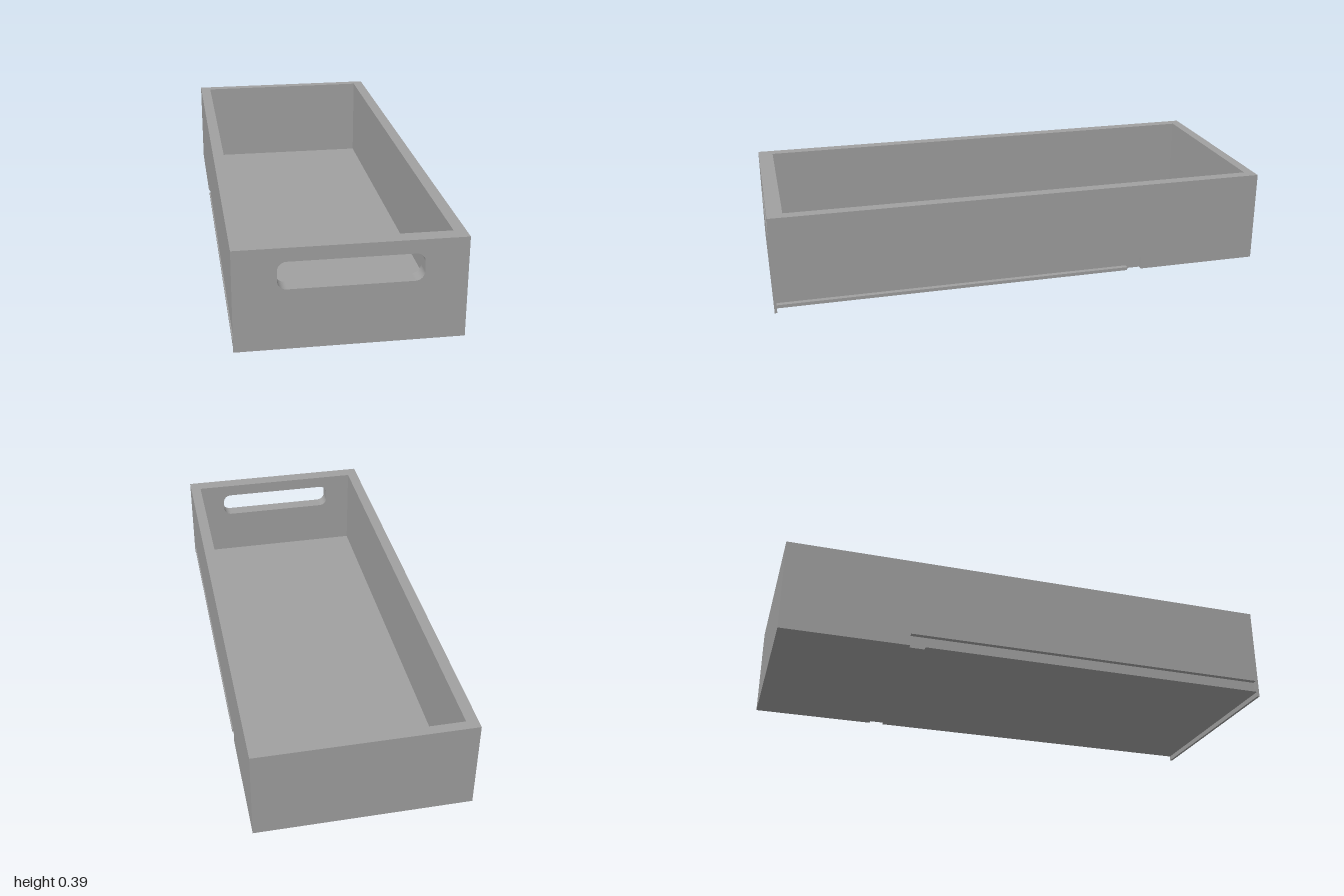
import * as THREE from 'three';

const W = 0.417, INNER = 0.372, GROOVE = 0.397; // half widths: outside, inside, groove bed
const BASE = 0.02, TOP = 0.39, FLOOR = 0.033;
const FACE = 0.99; // back of the thin front face

export function createModel() {
  const group = new THREE.Group();
  group.name = 'drawer';
  const grey = new THREE.MeshStandardMaterial({ color: 0xa0a0a0 });
  grey.name = 'grey';

  const add = (name, geometry) => {
    const mesh = new THREE.Mesh(geometry, grey);
    mesh.name = name;
    group.add(mesh);
    return mesh;
  };
  // Box given by its limits on each axis
  const box = (name, x0, x1, y0, y1, z0, z1) =>
    add(name, new THREE.BoxGeometry(x1 - x0, y1 - y0, z1 - z0))
      .position.set((x0 + x1) / 2, (y0 + y1) / 2, (z0 + z1) / 2);

  // Rounded slot for the handle
  const handleHole = () => {
    const x = 0.26, b = 0.233, t = 0.338, r = 0.034;
    const p = new THREE.Path();
    p.moveTo(-x + r, b);
    p.lineTo(x - r, b);
    p.absarc(x - r, b + r, r, -Math.PI / 2, 0);
    p.lineTo(x, t - r);
    p.absarc(x - r, t - r, r, 0, Math.PI / 2);
    p.lineTo(-x + r, t);
    p.absarc(-x + r, t - r, r, Math.PI / 2, Math.PI);
    p.lineTo(-x, b + r);
    p.absarc(-x + r, b + r, r, Math.PI, Math.PI * 1.5);
    return p;
  };
  const frontBoard = (name, halfWidth, bottom, z0, z1) => {
    const s = new THREE.Shape([
      new THREE.Vector2(-halfWidth, bottom), new THREE.Vector2(halfWidth, bottom),
      new THREE.Vector2(halfWidth, TOP), new THREE.Vector2(-halfWidth, TOP),
    ]);
    s.holes.push(handleHole());
    const g = new THREE.ExtrudeGeometry(s, { depth: z1 - z0, bevelEnabled: false, curveSegments: 10 });
    add(name, g).position.z = z0;
  };

  // Front: thin face with a lip below the floor, backed by a thicker board
  frontBoard('frontFace', W, 0, FACE, 1);
  frontBoard('frontBoard', INNER, BASE, 0.94, FACE);

  box('backBoard', -INNER, INNER, BASE, TOP, -1, -0.96);
  box('floor', -INNER, INNER, BASE, FLOOR, -0.96, 0.94);

  // Side outline in (z, y), stepped for the runner groove
  const outline = new THREE.Shape([
    [-1, BASE], [-0.5, BASE], [-0.5, 0.07], [FACE, 0.07], [FACE, TOP], [-1, TOP],
  ].map(([z, y]) => new THREE.Vector2(z, y)));
  const skin = new THREE.ExtrudeGeometry(outline, { depth: W - GROOVE, bevelEnabled: false });
  skin.rotateY(-Math.PI / 2);

  for (const [side, sign] of [['left', 1], ['right', -1]]) {
    const span = (a, b) => (sign > 0 ? [a, b] : [-b, -a]);
    box(side + 'InnerWall', ...span(INNER, GROOVE), BASE, TOP, -1, FACE);
    add(side + 'OuterWall', skin).position.x = sign > 0 ? W : -GROOVE;
    // Ledge along the bottom of the groove
    box(side + 'RunnerLedge', ...span(GROOVE, W), BASE, FLOOR, -0.44, FACE);
  }
  return group;
}
